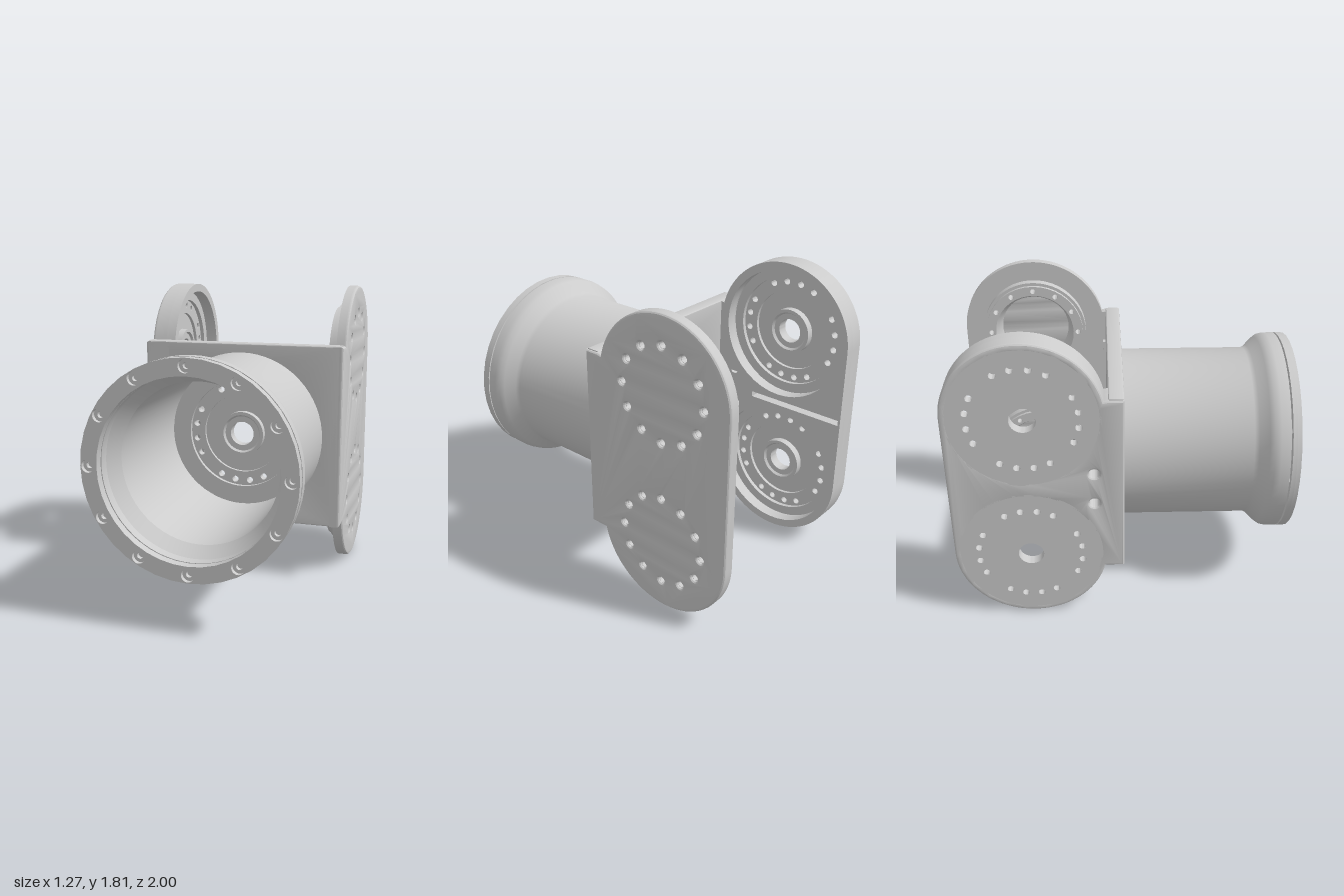
import * as THREE from 'three';
import { toCreasedNormals } from 'three/addons/utils/BufferGeometryUtils.js';

const material = new THREE.MeshStandardMaterial({ color: 0xcccccc });
const MID = 0.905;               // height of the tube axis
const PIVOTS = [0.45, 1.36];     // heights of the two side joints
const DEPTH = 0.55;              // distance of the joints behind the tube

function add(parent, name, geometry) {
  const mesh = new THREE.Mesh(toCreasedNormals(geometry, 0.5), material);
  mesh.name = name;
  parent.add(mesh);
  return mesh;
}

// Hole helpers
const circle = (x, y, r) => new THREE.Path().absarc(x, y, r, 0, Math.PI * 2, true);
const rect = (x0, y0, x1, y1) => new THREE.Path(
  [[x0, y0], [x0, y1], [x1, y1], [x1, y0], [x0, y0]].map(p => new THREE.Vector2(...p)));
const disc = r => new THREE.Shape().absarc(0, 0, r, 0, Math.PI * 2, false);
const ringOfHoles = (x, y, radius, r) => Array.from({ length: 12 }, (_, i) =>
  circle(x + radius * Math.cos(i * Math.PI / 6), y + radius * Math.sin(i * Math.PI / 6), r));

// Slab between two z positions; a bevel also countersinks its holes
function slab(parent, name, shape, holes, z0, z1, bevel = 0) {
  shape.holes = holes;
  const geometry = new THREE.ExtrudeGeometry(shape, {
    depth: z1 - z0 - 2 * bevel, curveSegments: 20, bevelEnabled: bevel > 0,
    bevelThickness: bevel, bevelSize: bevel, bevelOffset: -bevel, bevelSegments: 3,
  });
  geometry.translate(0, 0, z0 + bevel);
  return add(parent, name, geometry);
}

// Turned part about z from a closed [radius, z] profile, counterclockwise
function turned(parent, name, points) {
  const profile = [...points, points[0]].map(p => new THREE.Vector2(...p));
  return add(parent, name, new THREE.LatheGeometry(profile, 64).rotateX(Math.PI / 2).scale(1, 1, 1));
}

// Joint seat: stepped floor, four groups of four bolt holes, hollow boss
function jointSeat(name, outer) {
  const seat = new THREE.Group();
  seat.name = name;
  const holes = [circle(0, 0, 0.25)];
  for (let i = 0; i < 4; i++) {
    for (const step of [-27, -9, 9, 27]) {
      const a = (i * 90 + step) * Math.PI / 180;
      holes.push(circle(0.307 * Math.cos(a), 0.307 * Math.sin(a), 0.02));
    }
  }
  turned(seat, 'seatLedge', [[0.34, -0.08], [outer, -0.08], [outer, 0], [0.34, 0]]);
  slab(seat, 'boltRing', disc(0.342), holes, -0.08, -0.025);
  turned(seat, 'hollowBoss', [[0.075, -0.08], [0.26, -0.08], [0.26, -0.03], [0.25, -0.045],
    [0.14, -0.045], [0.14, 0], [0.12, 0], [0.11, -0.015], [0.075, -0.015]]);
  return seat;
}

// Side outline, drawn as (distance backwards, height): long oval joined to the back plate
function sideOutline() {
  const a = 0.235, s = new THREE.Shape();
  s.moveTo(0, 0.345);
  s.lineTo(0.09, 0.345);
  s.absarc(DEPTH, PIVOTS[0], 0.45, Math.PI + a, Math.PI * 2, false);
  s.absarc(DEPTH, PIVOTS[1], 0.45, 0, Math.PI - a, false);
  s.lineTo(0.09, 1.47);
  s.lineTo(0, 1.47);
  return s;
}

function buildTube(model) {
  const tube = new THREE.Group();
  tube.name = 'tube';
  tube.position.y = MID;
  model.add(tube);
  turned(tube, 'flaredTube', [[0.455, -0.01], [0.515, -0.01], [0.515, 0.75], [0.527, 0.775],
    [0.578, 0.825], [0.597, 0.85], [0.605, 0.885], [0.605, 0.94], [0.51, 0.94],
    [0.51, 0.88], [0.455, 0.8]]);
  // Front flange with stepped screw holes
  const holes = r => [circle(0, 0, 0.51), ...ringOfHoles(0, 0, 0.562, r)];
  slab(tube, 'flangeBack', disc(0.605), holes(0.018), 0.95, 0.975);
  slab(tube, 'flangeFront', disc(0.605), holes(0.037), 0.975, 1);
  // Floor of the tube
  tube.add(jointSeat('tubeSeat', 0.458));
  slab(tube, 'rearBoltRing', disc(0.445),
    [circle(0, 0, 0.36), ...ringOfHoles(0, 0, 0.4, 0.018)], -0.088, -0.078);
}

function buildBackPlate(model) {
  const shape = new THREE.Shape([[-0.62, 0.345], [0.62, 0.345], [0.62, 1.475], [-0.62, 1.475]]
    .map(p => new THREE.Vector2(...p)));
  slab(model, 'backPlate', shape, [circle(0, MID, 0.44)], -0.09, 0, 0.012);
  const strip = add(model, 'cornerStrip', new THREE.BoxGeometry(0.045, 0.73, 0.03));
  strip.position.set(0.552, MID, -0.092);
}

// Thin side plate carrying two bearing rings
function buildLeftSide(model) {
  const side = new THREE.Group();
  side.name = 'bearingSide';
  side.rotation.y = Math.PI / 2;
  model.add(side);
  const bolts = r => PIVOTS.flatMap(y => ringOfHoles(DEPTH, y, 0.28, r));
  const slot = new THREE.Path();
  slot.absarc(0.28, MID + 0.1, 0.045, Math.PI, 0, true);
  slot.absarc(0.28, MID - 0.1, 0.045, 0, -Math.PI, true);
  slab(side, 'outerSkin', sideOutline(), bolts(0.022), 0.6, 0.635, 0.017);
  slab(side, 'innerSkin', sideOutline(),
    [...bolts(0.02), slot, ...PIVOTS.map(y => circle(DEPTH, y, 0.235))], 0.57, 0.618);
  for (const y of PIVOTS) {
    const bearing = new THREE.Group();
    bearing.name = 'bearing';
    bearing.position.set(DEPTH, y, 0);
    side.add(bearing);
    slab(bearing, 'bearingRing', disc(0.312),
      [circle(0, 0, 0.252), ...ringOfHoles(0, 0, 0.28, 0.016)], 0.5, 0.572);
    turned(bearing, 'bearingCollar', [[0.31, 0.52], [0.33, 0.52], [0.33, 0.572], [0.31, 0.572]]);
    turned(bearing, 'bearingBore', [[0.252, 0.502], [0.253, 0.602], [0.215, 0.602], [0.235, 0.53]]);
  }
}

// Thick hollow side housing with two joint seats
function buildRightSide(model) {
  const side = new THREE.Group();
  side.name = 'housingSide';
  side.rotation.y = Math.PI / 2;
  model.add(side);
  const pockets = () => PIVOTS.map(y => circle(DEPTH, y, 0.4));
  const cableHoles = r => [-0.1, 0.1].map(d => circle(0.17, MID + d, r));
  slab(side, 'housingSkin', sideOutline(), [...pockets(), ...cableHoles(0.03)], -0.635, -0.6, 0.017);
  slab(side, 'housingBody', sideOutline(), [...pockets(), ...cableHoles(0.03)], -0.618, -0.54);
  // Rim layer with the cable recess and the groove between the pockets
  slab(side, 'housingRim', sideOutline(),
    [...pockets(), rect(0.12, 0.785, 0.26, 1.025), rect(0.36, 0.888, 0.985, 0.922)], -0.54, -0.48);
  for (const y of PIVOTS) {
    const seat = jointSeat('sideSeat', 0.425);
    seat.position.set(DEPTH, y, -0.555);
    side.add(seat);
  }
}

export function createModel() {
  const model = new THREE.Group();
  model.name = 'jointBracket';
  buildTube(model);
  buildBackPlate(model);
  buildLeftSide(model);
  buildRightSide(model);
  return model;
}
